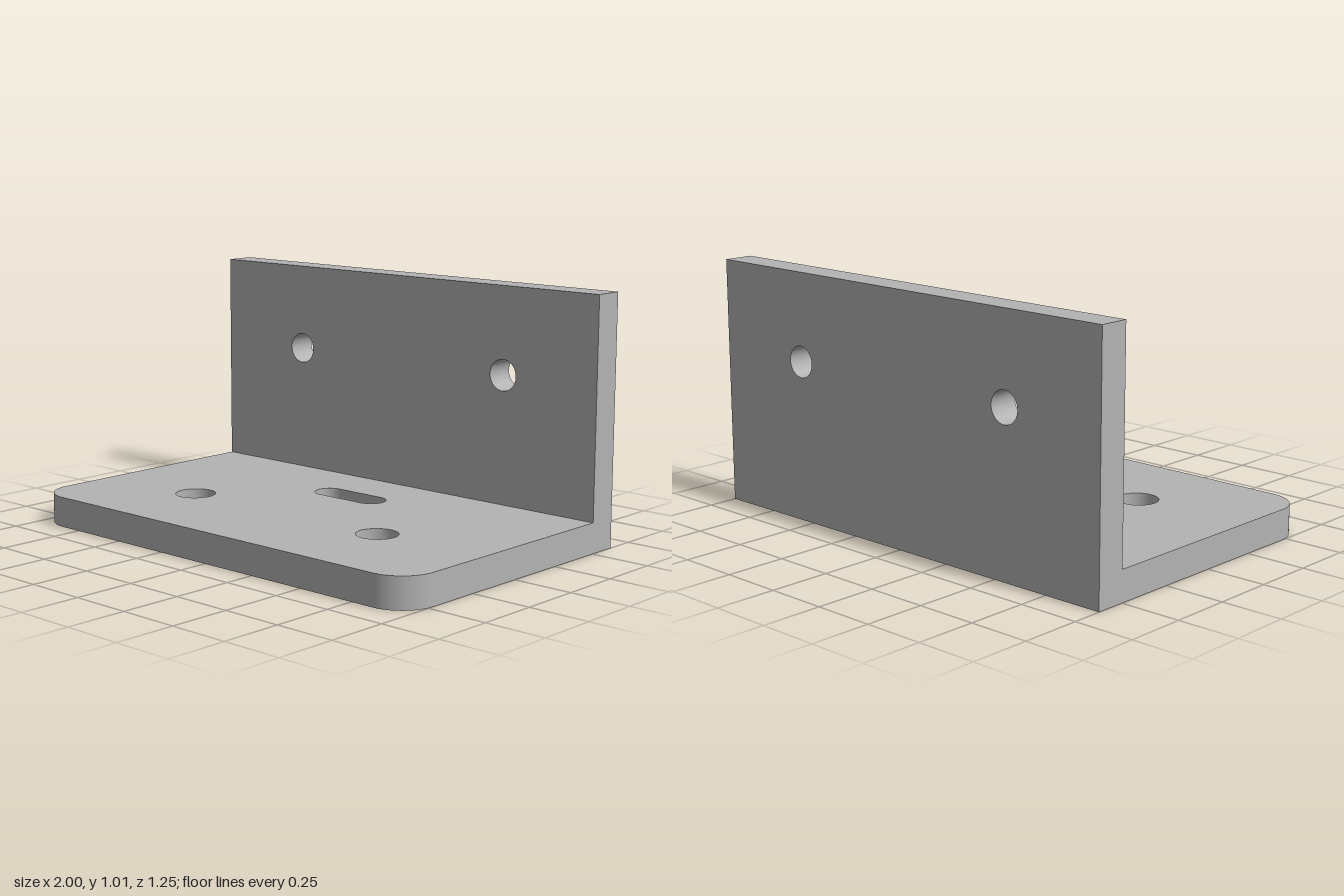
import * as THREE from 'three';
import { toCreasedNormals } from 'three/addons/utils/BufferGeometryUtils.js';

const W = 1, BACK = -0.625, FRONT = 0.625, T = 0.125, HEIGHT = 1.015, CORNER = 0.15;

// Round hole outline
function roundHole(x, y, r) {
  const p = new THREE.Path();
  p.absarc(x, y, r, 0, Math.PI * 2, true);
  return p;
}

// Slot outline with semicircular ends
function slotHole(x, y, halfLength, r) {
  const p = new THREE.Path();
  const c = halfLength - r;
  p.absarc(x + c, y, r, -Math.PI / 2, Math.PI / 2, false);
  p.absarc(x - c, y, r, Math.PI / 2, Math.PI * 1.5, false);
  p.closePath();
  return p;
}

// Plate of the bracket thickness, smooth around curves and sharp at edges
function plate(shape, name, material) {
  const geo = new THREE.ExtrudeGeometry(shape, { depth: T, bevelEnabled: false, curveSegments: 24 });
  const mesh = new THREE.Mesh(toCreasedNormals(geo, Math.PI / 6), material);
  mesh.name = name;
  return mesh;
}

export function createModel() {
  const group = new THREE.Group();
  group.name = 'angleBracket';
  const steel = new THREE.MeshStandardMaterial({ color: 0xb3b3b3 });
  steel.name = 'grey steel';

  // Base plate, drawn with shape y = -z, front corners rounded
  const base = new THREE.Shape();
  base.moveTo(W, -FRONT + CORNER);
  base.lineTo(W, -BACK - T);
  base.lineTo(-W, -BACK - T);
  base.lineTo(-W, -FRONT + CORNER);
  base.absarc(-W + CORNER, -FRONT + CORNER, CORNER, Math.PI, Math.PI * 1.5, false);
  base.absarc(W - CORNER, -FRONT + CORNER, CORNER, Math.PI * 1.5, Math.PI * 2, false);
  for (const s of [-1, 1]) base.holes.push(roundHole(s * 0.5, -0.2, 0.083));
  base.holes.push(slotHole(0, 0.203, 0.176, 0.064));
  const basePlate = plate(base, 'basePlate', steel);
  basePlate.rotation.x = -Math.PI / 2;
  group.add(basePlate);

  // Upright plate along the back with two screw holes
  const wall = new THREE.Shape();
  wall.moveTo(-W, 0);
  wall.lineTo(W, 0);
  wall.lineTo(W, HEIGHT);
  wall.lineTo(-W, HEIGHT);
  wall.closePath();
  for (const s of [-1, 1]) wall.holes.push(roundHole(s * 0.55, 0.655, 0.064));
  const uprightPlate = plate(wall, 'uprightPlate', steel);
  uprightPlate.position.z = BACK;
  group.add(uprightPlate);

  return group;
}
